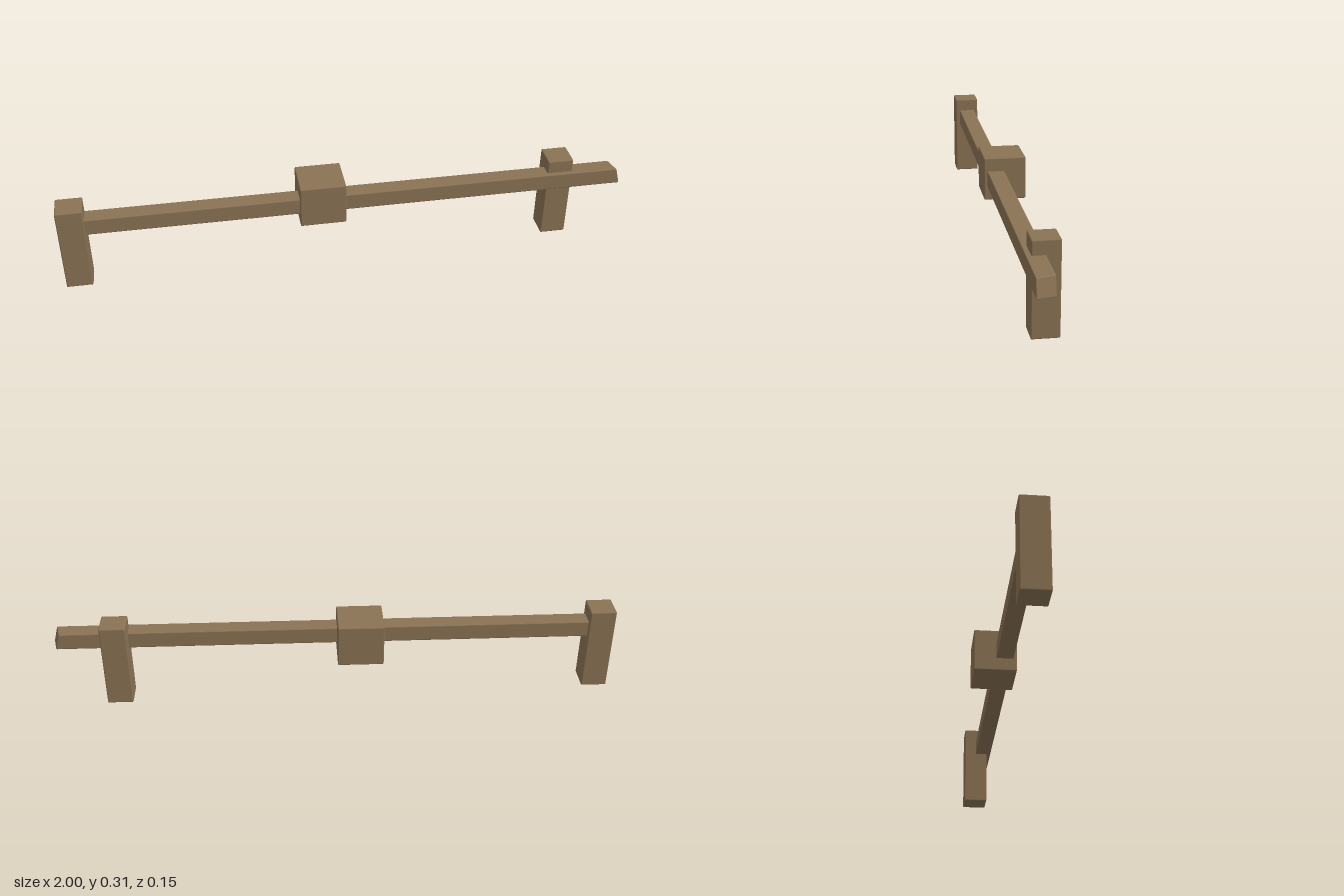
import * as THREE from 'three';
import { RoundedBoxGeometry } from 'three/addons/geometries/RoundedBoxGeometry.js';

const wood = new THREE.MeshStandardMaterial({ color: 0x8b7355 });
wood.name = 'weathered wood';

// Timber with slightly worn edges, given by its [min, max] range on each axis
function timber(name, x, y, z, bevel = 0.004) {
  const size = (r) => r[1] - r[0];
  const mid = (r) => (r[0] + r[1]) / 2;
  const geometry = new RoundedBoxGeometry(size(x), size(y), size(z), 1, bevel);
  geometry.translate(mid(x), mid(y), mid(z));
  const mesh = new THREE.Mesh(geometry, wood);
  mesh.name = name;
  return mesh;
}

export function createModel() {
  const group = new THREE.Group();
  group.name = 'barrier';

  // Two upright posts, set on opposite sides of the rail line
  group.add(timber('rightPost', [-1, -0.908], [0, 0.313], [-0.015, 0.077]));
  group.add(timber('leftPost', [0.729, 0.821], [0, 0.313], [-0.045, 0.045]));

  // Chunky block around the middle of the rail
  group.add(timber('centreBlock', [-0.17, -0.008], [0.16, 0.314], [-0.077, 0.073]));

  // Long rail with a skewed saw cut at its free end
  const rail = timber('rail', [-0.99, 1], [0.206, 0.266], [0.001, 0.061], 0.003);
  const p = rail.geometry.attributes.position;
  for (let i = 0; i < p.count; i++) {
    if (p.getX(i) < 0.9) continue;
    const up = (p.getY(i) - 0.206) / 0.06;
    const back = (0.061 - p.getZ(i)) / 0.06;
    p.setX(i, p.getX(i) - 0.016 * up - 0.014 * back);
  }
  rail.geometry.computeVertexNormals();
  group.add(rail);

  return group;
}
